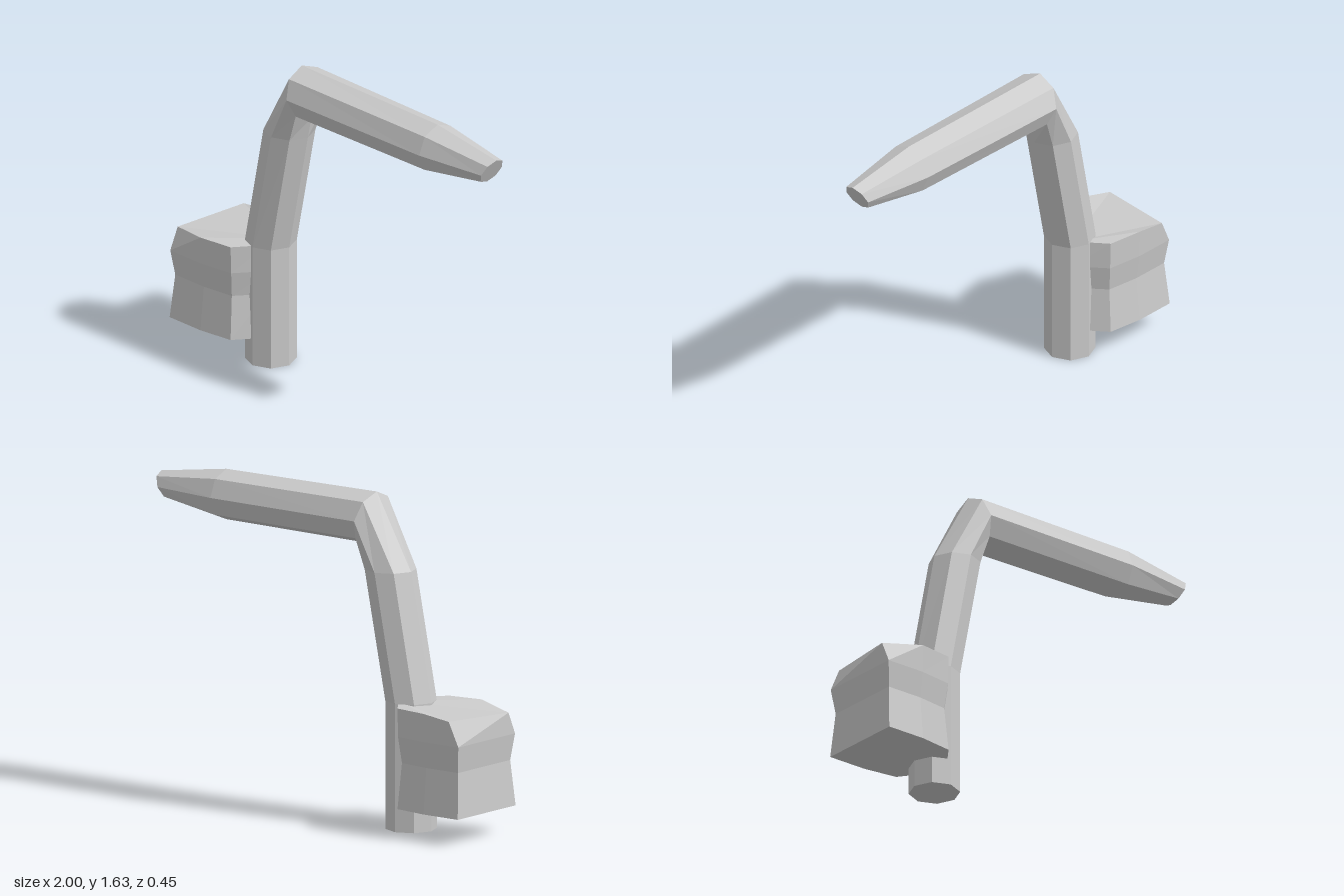
import * as THREE from 'three';

const material = new THREE.MeshStandardMaterial({ color: 0xcccccc, flatShading: true });

// Skin a stack of equal-length rings and close both ends
function loft(name, rings) {
  const n = rings[0].length;
  const index = [];
  for (let i = 0; i < rings.length - 1; i++) {
    for (let j = 0; j < n; j++) {
      const k = (j + 1) % n;
      const a = i * n + j, b = i * n + k, c = b + n, d = a + n;
      index.push(a, b, c, a, c, d);
    }
  }
  const last = (rings.length - 1) * n;
  for (let j = 1; j < n - 1; j++) {
    index.push(0, j + 1, j);
    index.push(last, last + j, last + j + 1);
  }
  const indexed = new THREE.BufferGeometry();
  indexed.setAttribute('position', new THREE.Float32BufferAttribute(rings.flat(2), 3));
  indexed.setIndex(index);
  const geometry = indexed.toNonIndexed();
  geometry.computeVertexNormals();
  const mesh = new THREE.Mesh(geometry, material);
  mesh.name = name;
  return mesh;
}

// Eight-sided ring spanning an outer and an inner point of the bend
function pipeRing([ox, oy, ix, iy, halfDepth]) {
  const cx = (ox + ix) / 2, cy = (oy + iy) / 2;
  return Array.from({ length: 8 }, (_, j) => {
    const t = (j / 8) * Math.PI * 2;
    return [
      cx + (ix - cx) * Math.cos(t),
      cy + (iy - cy) * Math.cos(t),
      -halfDepth * Math.sin(t),
    ];
  });
}

export function createModel() {
  const model = new THREE.Group();
  model.name = 'bentPipe';

  // Upright, elbow and tapering arm: outer x, y, inner x, y, half depth
  const stations = [
    [-0.66, 0, -0.41, 0, 0.125],
    [-0.66, 0.63, -0.41, 0.63, 0.125],
    [-0.535, 1.26, -0.283, 1.26, 0.125],
    [-0.325, 1.63, -0.26, 1.37, 0.137],
    [0.6, 1.625, 0.6, 1.377, 0.125],
    [1.0, 1.567, 0.935, 1.433, 0.072],
  ];
  model.add(loft('pipe', stations.map(pipeRing)));

  // Side block: plan outline repeated at several heights, pinched in the middle
  const half = [[-0.5, 0.05], [-0.61, 0.2], [-0.79, 0.225], [-1, 0.225]];
  const outline = [
    ...half.map(([x, z]) => [x, -z]),
    ...half.slice().reverse(),
  ];
  const middle = -0.775;
  const levels = [[0.135, 1, 1], [0.36, 0.93, 0.9], [0.49, 1, 0.98], [0.63, 1, 1]];
  const blockRings = levels.map(([y, sx, sz]) =>
    outline.map(([x, z]) => [middle + (x - middle) * sx, y, z * sz]));
  // Worn outer corners of the top
  blockRings[3][3] = [-0.945, 0.61, -0.225];
  blockRings[3][4] = [-1, 0.6, 0.17];
  model.add(loft('sideBlock', blockRings));

  return model;
}
